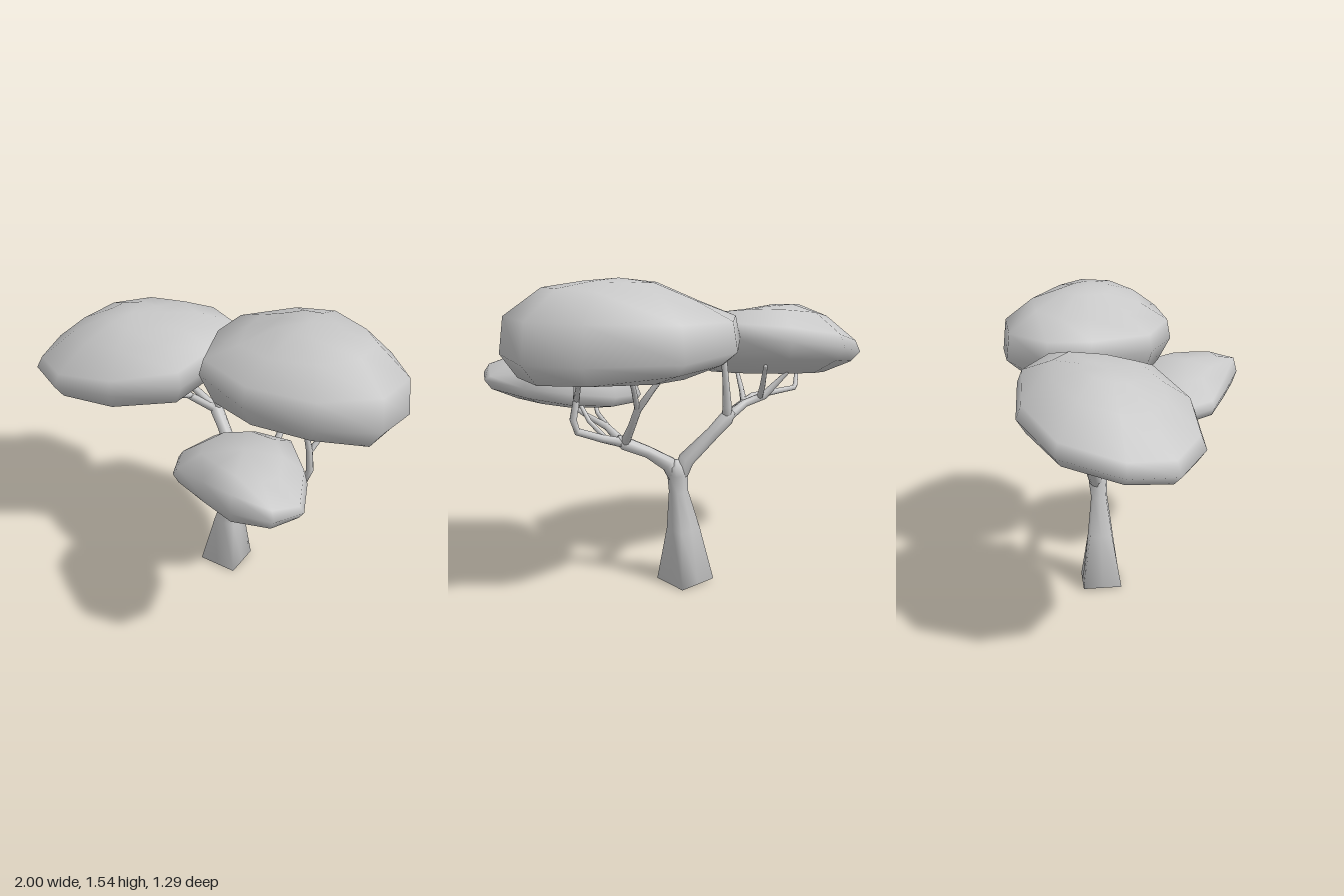
import * as THREE from 'three';

const grey = new THREE.MeshStandardMaterial({ color: 0xc8c8c8 });
grey.name = 'plain grey';

// Skin over equal-sized rings of points, closed by a pole at each end.
function loft(rings, startPole, endPole) {
  const n = rings[0].length;
  const points = [...rings.flat(), startPole, endPole];
  const first = points.length - 2, last = points.length - 1;
  const top = (rings.length - 1) * n;
  const index = [];
  for (let j = 0; j < n; j++) {
    const k = (j + 1) % n;
    for (let i = 0; i < rings.length - 1; i++) {
      const a = i * n + j, b = i * n + k;
      index.push(a, b, a + n, b, b + n, a + n);
    }
    index.push(first, k, j, last, top + j, top + k);
  }
  const geometry = new THREE.BufferGeometry().setFromPoints(points);
  geometry.setIndex(index);
  geometry.computeVertexNormals();
  return geometry;
}

// Tapered eight-sided limb through stations [x, y, z, radius, corner];
// corner pushes every other side point out, 1.41 giving a square section.
function limb(name, stations) {
  const sides = 8;
  const pts = stations.map(([x, y, z]) => new THREE.Vector3(x, y, z));
  const u = new THREE.Vector3(0, 0.02, 1);
  const rings = pts.map((p, i) => {
    const t = pts[Math.min(i + 1, pts.length - 1)].clone().sub(pts[Math.max(i - 1, 0)]).normalize();
    u.addScaledVector(t, -u.dot(t)).normalize();
    const v = t.clone().cross(u);
    const [, , , radius, corner = 1] = stations[i];
    return Array.from({ length: sides }, (_, j) => {
      const a = (j / sides) * Math.PI * 2, r = radius * (j % 2 ? corner : 1);
      return p.clone().addScaledVector(u, r * Math.cos(a)).addScaledVector(v, r * Math.sin(a));
    });
  });
  const mesh = new THREE.Mesh(loft(rings, pts[0], pts[pts.length - 1]), grey);
  mesh.name = name;
  return mesh;
}

// Leaf mass: a plan outline [x, z, lift] repeated at several scales, each
// level [scale, height, slope along x, slope along z, share of lift].
function canopy(name, [cx, cz], outline, levels, bottom, top) {
  const rings = levels.map(([s, y, sx, sz, share = 0]) => outline.map(([x, z, lift = 0]) => {
    const dx = (x - cx) * s, dz = (z - cz) * s;
    return new THREE.Vector3(cx + dx, y + sx * dx + sz * dz + share * lift, cz + dz);
  }));
  const pole = (y) => new THREE.Vector3(cx, y, cz);
  const mesh = new THREE.Mesh(loft(rings, pole(bottom), pole(top)), grey);
  mesh.name = name;
  return mesh;
}

export function createModel() {
  const tree = new THREE.Group();
  tree.name = 'tree';

  // Trunk, square and flared at the foot, rounder above
  tree.add(limb('trunk', [
    [0.09, 0.004, -0.18, 0.101, 1.41], [0.104, 0.28, -0.18, 0.066, 1.25], [0.135, 0.48, -0.18, 0.043, 1.1],
    [0.145, 0.57, -0.185, 0.048, 1.05], [0.15, 0.61, -0.185, 0.044], [0.15, 0.64, -0.19, 0.015],
  ]));

  // Main boughs
  tree.add(limb('rightBough', [
    [0.14, 0.53, -0.185, 0.034], [0.11, 0.64, -0.21, 0.04], [0.0, 0.77, -0.28, 0.033],
    [-0.06, 0.84, -0.31, 0.036], [-0.09, 0.87, -0.315, 0.022],
  ]));
  tree.add(limb('leftBough', [
    [0.145, 0.53, -0.185, 0.034], [0.18, 0.62, -0.16, 0.04], [0.26, 0.68, -0.1, 0.03],
    [0.36, 0.73, -0.04, 0.034], [0.39, 0.755, -0.03, 0.022],
  ]));

  // Branches under the right canopy
  const rightBranches = [
    [[-0.06, 0.83, -0.31, 0.025], [-0.055, 0.9, -0.32, 0.022], [-0.04, 1.02, -0.325, 0.016], [-0.02, 1.15, -0.33, 0.014]],
    [[-0.06, 0.84, -0.31, 0.025], [-0.17, 0.9, -0.32, 0.02], [-0.27, 0.93, -0.35, 0.02], [-0.35, 1.05, -0.43, 0.01]],
    [[-0.25, 0.92, -0.34, 0.016], [-0.21, 0.99, -0.4, 0.014], [-0.15, 1.11, -0.48, 0.01]],
    [[-0.07, 0.85, -0.3, 0.022], [-0.27, 0.915, -0.27, 0.018], [-0.6, 0.91, -0.24, 0.013], [-0.63, 0.92, -0.22, 0.013], [-0.68, 0.99, -0.18, 0.01]],
    [[-0.2, 0.9, -0.28, 0.016], [-0.28, 0.93, -0.18, 0.013], [-0.36, 1.02, -0.05, 0.009]],
  ];
  rightBranches.forEach((s) => tree.add(limb('rightBranch', s)));

  // Branches under the left and front canopies
  const leftBranches = [
    [[0.36, 0.72, -0.04, 0.024], [0.37, 0.83, -0.12, 0.018], [0.38, 0.92, -0.18, 0.018], [0.34, 1.03, -0.25, 0.014], [0.29, 1.12, -0.3, 0.011]],
    [[0.38, 0.92, -0.18, 0.014], [0.43, 1.03, -0.22, 0.012], [0.49, 1.13, -0.26, 0.01]],
    [[0.36, 0.73, -0.04, 0.024], [0.48, 0.77, -0.03, 0.019], [0.605, 0.82, -0.01, 0.018], [0.625, 0.88, -0.01, 0.018], [0.61, 0.98, -0.02, 0.016], [0.59, 1.13, 0.01, 0.011]],
    [[0.61, 0.97, -0.02, 0.014], [0.64, 1.04, -0.08, 0.012], [0.68, 1.13, -0.17, 0.01]],
    [[0.36, 0.73, -0.03, 0.024], [0.375, 0.79, 0.08, 0.017], [0.42, 0.84, 0.22, 0.012], [0.5, 0.94, 0.38, 0.009]],
    [[0.37, 0.79, 0.08, 0.014], [0.36, 0.84, 0.18, 0.011], [0.33, 0.93, 0.27, 0.009]],
    [[0.46, 0.77, -0.03, 0.014], [0.49, 0.84, 0.06, 0.012], [0.52, 0.97, 0.14, 0.009]],
  ];
  leftBranches.forEach((s) => tree.add(limb('leftBranch', s)));

  // Leaf masses
  tree.add(canopy('rightCanopy', [-0.49, -0.18], [
    [-1, -0.16], [-0.95, 0.07], [-0.71, 0.22], [-0.36, 0.23], [-0.03, 0.09],
    [0.03, -0.16], [-0.01, -0.44], [-0.22, -0.58], [-0.58, -0.59], [-0.88, -0.44],
  ], [
    [0.6, 1.0, 0.1, -0.11], [0.9, 1.055, 0.12, -0.15], [1, 1.13, 0.17, -0.13], [0.94, 1.195, 0.19, -0.13],
    [0.6, 1.295, 0.14, -0.16], [0.28, 1.338, 0.02, -0.18],
  ], 0.99, 1.35));

  tree.add(canopy('leftCanopy', [0.49, -0.2], [
    [-0.02, -0.44], [-0.03, -0.22], [0.07, 0.09], [0.38, 0.23, 0.03], [0.72, 0.21, 0.04],
    [0.97, 0.03], [1, -0.21], [0.83, -0.41], [0.48, -0.65, 0.03], [0.17, -0.63, 0.04],
  ], [
    [0.55, 1.097, 0.01, 0], [0.86, 1.12, -0.02, 0, 1], [1, 1.235, -0.06, 0.06], [0.96, 1.37, 0.03, 0],
    [0.64, 1.468, 0.13, -0.03], [0.3, 1.522, 0.05, -0.02],
  ], 1.09, 1.538));

  tree.add(canopy('frontCanopy', [0.45, 0.33], [
    [0.07, 0.27, -0.06], [0.14, 0.43, -0.05], [0.35, 0.54, 0], [0.56, 0.64, 0.05], [0.75, 0.61, 0.01],
    [0.82, 0.47, -0.03], [0.73, 0.25, 0.01], [0.58, 0.09, 0.04], [0.35, 0.03, 0], [0.15, 0.1, -0.04],
  ], [
    [0.6, 0.89, 0.1, 0.05], [0.92, 0.925, 0.11, 0.08], [1, 0.975, 0.1, 0.08, 0.2], [0.93, 1.045, 0.06, 0, 1],
    [0.6, 1.105, 0.08, -0.02, 0.3],
  ], 0.88, 1.13));

  return tree;
}
